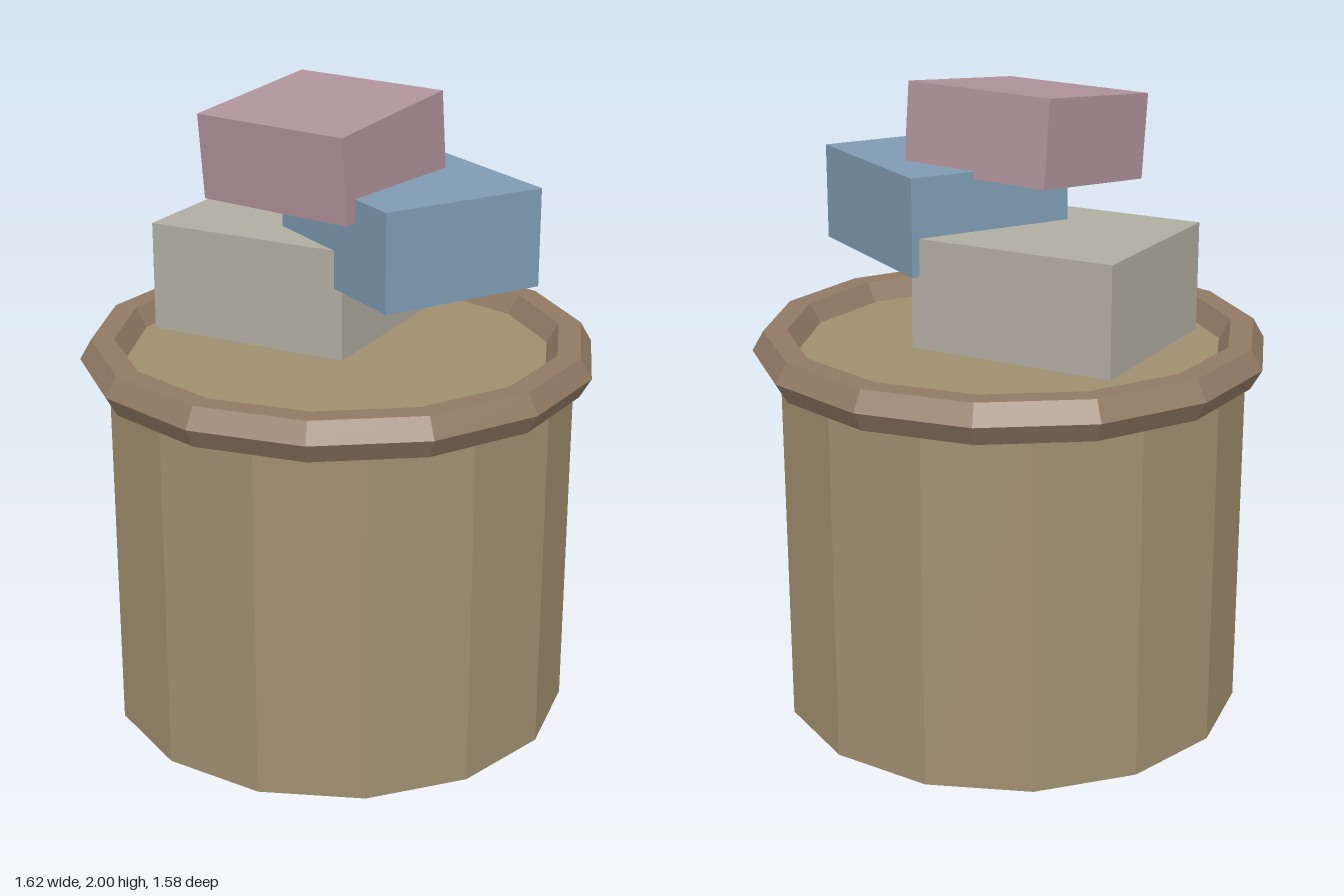
import * as THREE from 'three';

const SIDES = 14;

function part(name, geometry, color) {
  const mesh = new THREE.Mesh(geometry, new THREE.MeshStandardMaterial({ color, flatShading: true }));
  mesh.name = name;
  return mesh;
}

// A block given by its size, centre, turn about y and forward tilt
function block(name, size, centre, turn, tilt, color) {
  const mesh = part(name, new THREE.BoxGeometry(...size), color);
  mesh.position.set(...centre);
  mesh.rotation.set(THREE.MathUtils.degToRad(tilt), THREE.MathUtils.degToRad(turn), 0, 'YXZ');
  return mesh;
}

export function createModel() {
  const model = new THREE.Group();
  model.name = 'barrelWithBlocks';

  // Faceted barrel, its top recessed inside the rim
  const height = 1.175;
  const barrel = part('barrel', new THREE.CylinderGeometry(0.737, 0.737, height, SIDES), 0xa08f6f);
  barrel.position.y = height / 2;
  model.add(barrel);

  // Six-sided rim ring around the top edge
  const rim = part('rim', new THREE.TorusGeometry(0.737, 0.072, 6, SIDES), 0x917a64);
  rim.rotation.x = Math.PI / 2;
  rim.position.y = height;
  model.add(rim);

  // Loosely stacked blocks
  model.add(
    block('bottomBlock', [0.665, 0.34, 0.6], [-0.203, 1.407, 0], 17, 0, 0xb0aca2),
    block('middleBlock', [0.6, 0.3, 0.536], [0.232, 1.61, -0.065], -14.2, 0, 0x7f9cb3),
    block('topBlock', [0.532, 0.264, 0.51], [0, 1.844, 0.066], 8.6, 5.7, 0xb0929a),
  );

  return model;
}
